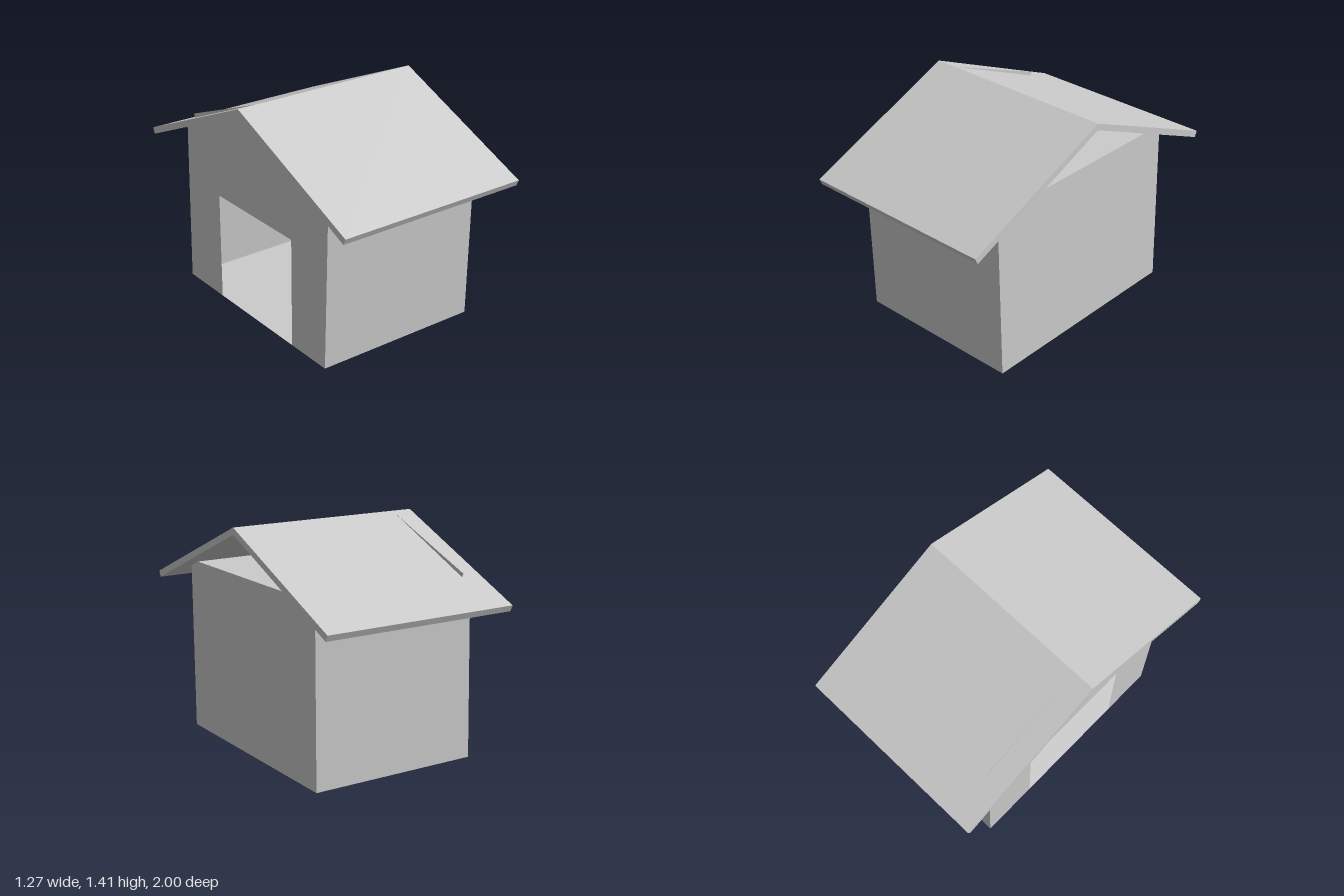
import * as THREE from 'three';

const material = new THREE.MeshStandardMaterial({ color: 0xcccccc, flatShading: true, side: THREE.DoubleSide });

// Half width of the house at height y (walls lean in very slightly)
const halfWidth = (y) => 0.545 - 0.005 * y;

// Wall corners as [z, y], anticlockwise seen from the door side
const FLOOR_BACK = [-0.75, 0], FLOOR_FRONT = [0.70, 0];
const EAVE_FRONT = [0.725, 1.052], EAVE_BACK = [-0.73, 1.05];
const CEILING_FRONT = [0.637, 1.09], CEILING_BACK = [-0.637, 1.09];
const PEAK = [0, 1.365];

function addMesh(group, name, geometry) {
  const mesh = new THREE.Mesh(geometry, material);
  mesh.name = name;
  group.add(mesh);
}

function shapeOf(points) {
  return new THREE.Shape(points.map(([a, b]) => new THREE.Vector2(a, b)));
}

// Flat end panel facing side * x, cut from a [z, y] outline
function endPanel(side, outline, hole) {
  const turn = (points) => points.map(([z, y]) => [-side * z, y]);
  const shape = shapeOf(turn(outline));
  if (hole) shape.holes.push(shapeOf(turn(hole)));
  const geometry = new THREE.ShapeGeometry(shape);
  const p = geometry.attributes.position;
  for (let i = 0; i < p.count; i++) {
    p.setXYZ(i, side * halfWidth(p.getY(i)), p.getY(i), -side * p.getX(i));
  }
  geometry.computeVertexNormals();
  return geometry;
}

// Sheet spanning the house across x, along one edge of the outline
function crossPanel([za, ya], [zb, yb]) {
  const wa = halfWidth(ya), wb = halfWidth(yb);
  const geometry = new THREE.BufferGeometry();
  geometry.setAttribute('position', new THREE.Float32BufferAttribute(
    [-wa, ya, za, wa, ya, za, wb, yb, zb, -wb, yb, zb], 3));
  geometry.setIndex([0, 1, 2, 0, 2, 3]);
  geometry.computeVertexNormals();
  return geometry;
}

export function createModel() {
  const house = new THREE.Group();
  house.name = 'kennel';

  // Thin shell: floor, long walls and ceiling
  addMesh(house, 'floor', crossPanel(FLOOR_BACK, FLOOR_FRONT));
  addMesh(house, 'frontWall', crossPanel(FLOOR_FRONT, EAVE_FRONT));
  addMesh(house, 'backWall', crossPanel(EAVE_BACK, FLOOR_BACK));
  addMesh(house, 'ceiling', crossPanel(CEILING_FRONT, CEILING_BACK));

  // Plain end stops at the ceiling, leaving the loft open
  addMesh(house, 'leftWall', endPanel(1,
    [FLOOR_BACK, FLOOR_FRONT, EAVE_FRONT, CEILING_FRONT, CEILING_BACK, EAVE_BACK]));

  // Door end rises to the ridge
  addMesh(house, 'doorWall', endPanel(-1,
    [FLOOR_BACK, [-0.385, 0], [-0.385, 0.70], [0.375, 0.70], [0.375, 0],
      FLOOR_FRONT, EAVE_FRONT, PEAK, EAVE_BACK]));

  // Roof: bent slab swept along the ridge
  const roof = new THREE.ExtrudeGeometry(shapeOf([
    [-1, 0.98], [-0.983, 0.942], [0, 1.365], [0.983, 0.942], [1, 0.98], [0, 1.407],
  ]), { depth: 1.27, bevelEnabled: false });
  roof.translate(0, 0, -0.635);
  roof.rotateY(-Math.PI / 2);
  addMesh(house, 'roof', roof);

  // Thin rafter fin showing slightly above the back slope
  const fin = new THREE.ShapeGeometry(shapeOf([
    [-0.02, 1.385], [-0.02, 1.398], [-0.715, 1.13], [-0.69, 1.095],
  ]));
  fin.rotateY(-Math.PI / 2);
  fin.translate(-0.5, 0, 0);
  addMesh(house, 'rafterFin', fin);

  return house;
}
